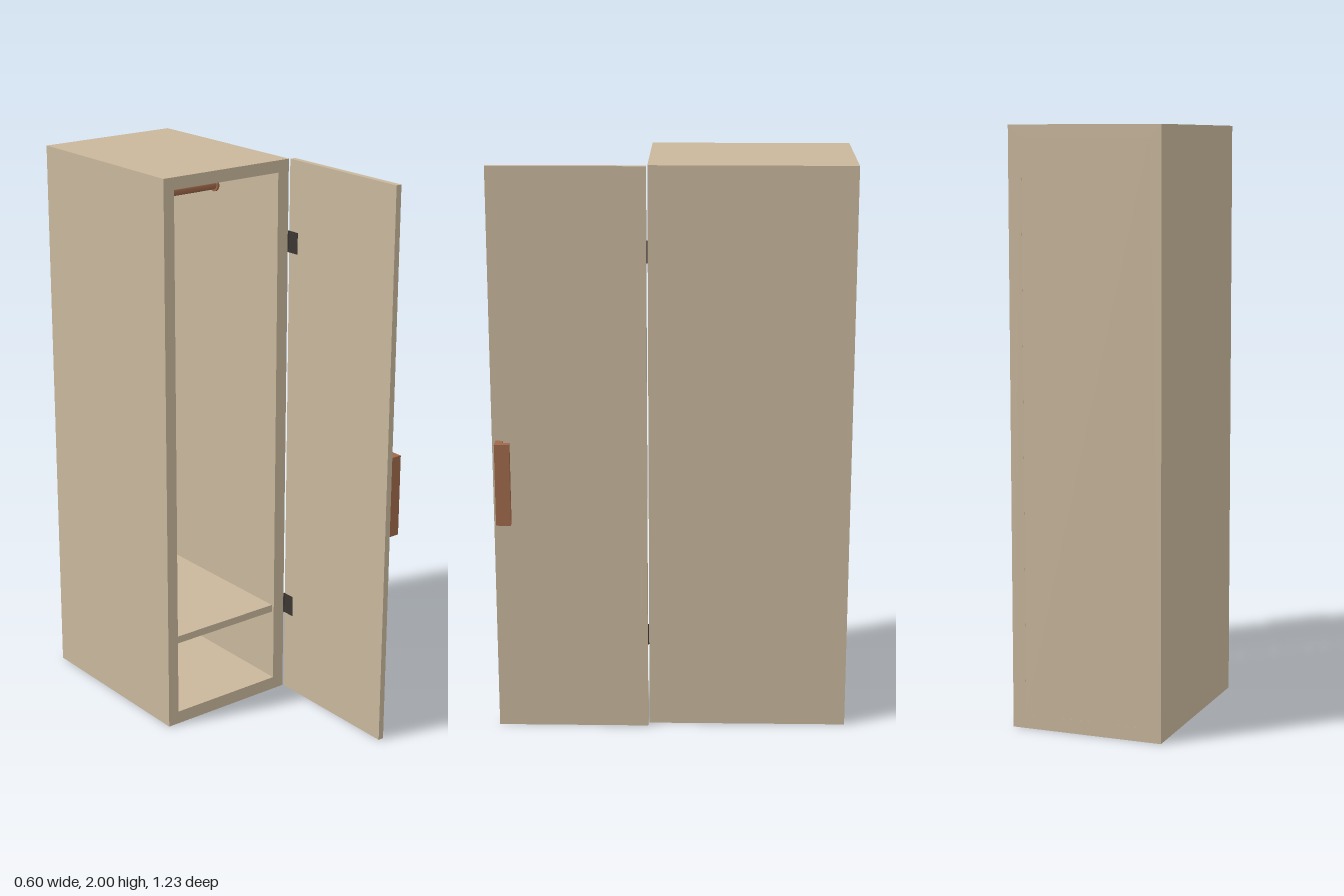
import * as THREE from 'three';

export function createModel() {
  const model = new THREE.Group();
  const mat = (name, color) => {
    const m = new THREE.MeshStandardMaterial({ color });
    m.name = name;
    return m;
  };
  const wood = mat('pale wood', 0xc9b79c);
  const brown = mat('reddish brown', 0xa0694a);
  const metal = mat('dark metal', 0x3a3632);

  const add = (name, geometry, material, parent = model) => {
    const mesh = new THREE.Mesh(geometry, material);
    mesh.name = name;
    parent.add(mesh);
    return mesh;
  };
  // Box given by its lower and upper corners
  const box = (name, a, b, material, parent) => {
    const size = b.map((v, i) => v - a[i]);
    const mesh = add(name, new THREE.BoxGeometry(...size), material, parent);
    mesh.position.set(...b.map((v, i) => (v + a[i]) / 2));
    return mesh;
  };
  const rect = (target, x0, y0, x1, y1) => {
    target.moveTo(x0, y0);
    target.lineTo(x1, y0);
    target.lineTo(x1, y1);
    target.lineTo(x0, y1);
    target.closePath();
    return target;
  };

  // Cabinet: a hollow frame closed by a back panel
  const frame = rect(new THREE.Shape(), -0.302, 0, 0.226, 2);
  frame.holes.push(rect(new THREE.Path(), -0.26, 0.047, 0.18, 1.958));
  const carcass = add('cabinetBody',
    new THREE.ExtrudeGeometry(frame, { depth: 0.696, bevelEnabled: false }), wood);
  carcass.position.z = -0.615;
  box('backPanel', [-0.26, 0.047, -0.6148], [0.18, 1.958, -0.575], wood);
  box('shelf', [-0.26, 0.313, -0.575], [0.18, 0.34, 0.07], wood);

  // Hanging rod with a round flange at each end
  const rod = new THREE.Group();
  rod.name = 'hangingRod';
  rod.position.set(-0.04, 1.857, -0.27);
  rod.rotation.z = Math.PI / 2;
  add('rod', new THREE.CylinderGeometry(0.017, 0.017, 0.44, 32), brown, rod);
  for (const side of [-1, 1]) {
    add('rodFlange', new THREE.CylinderGeometry(0.024, 0.024, 0.008, 32), brown, rod)
      .position.y = side * 0.216;
  }
  model.add(rod);

  // Door, swung fully open on the left side
  box('door', [0.229, 0, 0.085], [0.25, 2, 0.615], wood);

  // Hinges: a pin and a leaf on the inner face of the door
  for (const y of [0.342, 1.712]) {
    const hinge = new THREE.Group();
    hinge.name = 'hinge';
    box('hingePin', [0.225, y - 0.038, 0.081], [0.229, y + 0.038, 0.085], metal, hinge);
    box('hingeLeaf', [0.227, y - 0.038, 0.085], [0.229, y + 0.038, 0.13], metal, hinge);
    model.add(hinge);
  }

  // L-shaped handle: profile in x and z, extruded upwards
  const profile = new THREE.Shape([
    [0.25, -0.603], [0.3, -0.603], [0.3, -0.552],
    [0.276, -0.552], [0.276, -0.577], [0.25, -0.577],
  ].map(([x, y]) => new THREE.Vector2(x, y)));
  const handle = add('handle',
    new THREE.ExtrudeGeometry(profile, { depth: 0.29, bevelEnabled: false }), brown);
  handle.rotation.x = -Math.PI / 2;
  handle.position.y = 0.77;

  return model;
}
